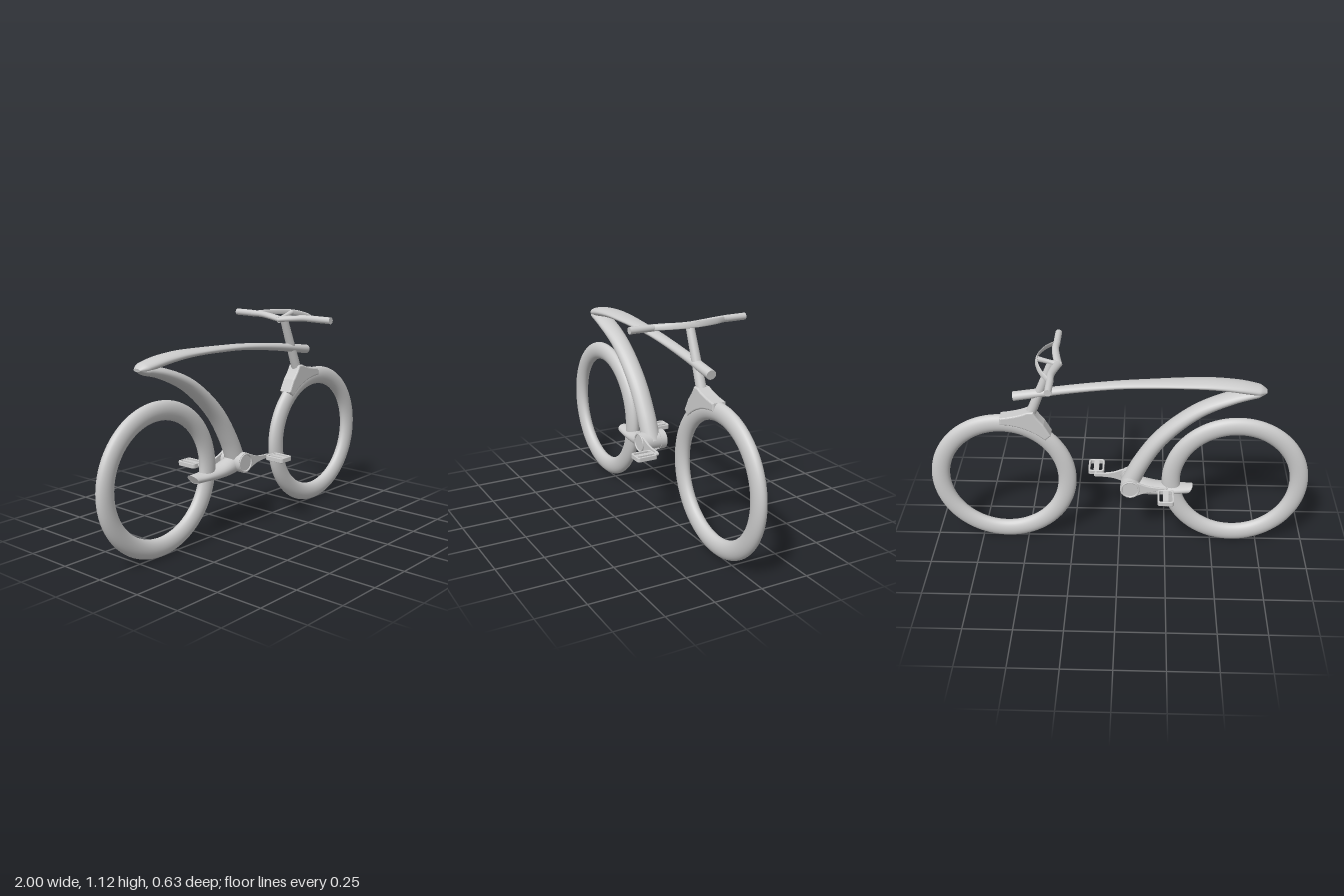
import * as THREE from 'three';

const V = (x, y, z = 0) => new THREE.Vector3(x, y, z);
const grey = new THREE.MeshStandardMaterial({ color: 0xcccccc });

function add(parent, name, geometry, x = 0, y = 0, z = 0) {
  const mesh = new THREE.Mesh(geometry, grey);
  mesh.name = name;
  mesh.position.set(x, y, z);
  parent.add(mesh);
  return mesh;
}

// Smooth elliptical loft. Each station is [x, y, z, half width along side, half height].
// startSlant shears the first end cut along the path.
function loft(stations, side, steps = 48, startSlant = 0, N = 24) {
  const path = new THREE.CatmullRomCurve3(stations.map(s => V(s[0], s[1], s[2])));
  const size = new THREE.CatmullRomCurve3(stations.map(s => V(s[3], s[4])));
  const pos = [], index = [];
  for (let i = 0; i <= steps; i++) {
    const t = i / steps, p = path.getPoint(t), s = size.getPoint(t), T = path.getTangent(t);
    const n = T.clone().cross(side).normalize();
    for (let j = 0; j < N; j++) {
      const a = j / N * Math.PI * 2;
      const q = p.clone().addScaledVector(side, s.x * Math.cos(a)).addScaledVector(n, s.y * Math.sin(a));
      if (i === 0) q.addScaledVector(T, startSlant * Math.sin(a));
      pos.push(q.x, q.y, q.z);
      if (i < steps) {
        const k = (j + 1) % N, A = i * N + j, B = i * N + k;
        index.push(A, B, A + N, B, B + N, A + N);
      }
    }
  }
  // flat end caps with their own vertices
  for (const end of [0, 1]) {
    const ring = end * steps * N * 3, base = pos.length / 3;
    pos.push(...path.getPoint(end).toArray());
    for (let j = 0; j < N * 3; j++) pos.push(pos[ring + j]);
    for (let j = 0; j < N; j++) {
      const a = base + 1 + j, b = base + 1 + (j + 1) % N;
      index.push(base, end ? a : b, end ? b : a);
    }
  }
  const g = new THREE.BufferGeometry();
  g.setAttribute('position', new THREE.Float32BufferAttribute(pos, 3));
  g.setIndex(index);
  g.computeVertexNormals();
  return g;
}

// Straight round bar between two points
function rod(a, b, r0, r1 = r0) {
  const g = new THREE.CylinderGeometry(r1, r0, a.distanceTo(b), 28);
  g.applyQuaternion(new THREE.Quaternion().setFromUnitVectors(V(0, 1), b.clone().sub(a).normalize()));
  const m = a.clone().add(b).multiplyScalar(0.5);
  return g.translate(m.x, m.y, m.z);
}

// Extrusion centred on z = 0
function plate(shape, depth, bevel) {
  return new THREE.ExtrudeGeometry(shape, {
    depth: depth - 2 * bevel, bevelThickness: bevel, bevelSize: bevel, bevelOffset: -bevel,
    bevelSegments: 3, curveSegments: 24,
  }).translate(0, 0, bevel - depth / 2);
}

function roundedRect(C, w, h, r) {
  const s = new C();
  s.absarc(w - r, h - r, r, 0, Math.PI / 2);
  s.absarc(-w + r, h - r, r, Math.PI / 2, Math.PI);
  s.absarc(-w + r, -h + r, r, Math.PI, Math.PI * 1.5);
  s.absarc(w - r, -h + r, r, Math.PI * 1.5, Math.PI * 2);
  s.closePath();
  return s;
}

const HUB = V(-0.06, 0.367);

// Crank arm and pedal on the +z side, relative to the hub
function createCrank(name) {
  const g = new THREE.Group();
  g.name = name;
  g.position.copy(HUB);
  const arm = new THREE.Shape();
  arm.moveTo(0.03, 0.042);
  arm.bezierCurveTo(0.07, 0.032, 0.08, 0.01, 0.185, 0.011);
  arm.absarc(0.187, 0, 0.011, Math.PI / 2, -Math.PI / 2, true);
  arm.bezierCurveTo(0.08, -0.01, 0.07, -0.032, 0.03, -0.042);
  arm.absarc(0, 0, 0.052, -0.95, 0.95, true);
  add(g, 'crankArm', plate(arm, 0.012, 0.003), 0, 0, 0.064);
  add(g, 'bearingCup', new THREE.CylinderGeometry(0.053, 0.053, 0.034, 40).rotateX(Math.PI / 2), 0, 0, 0.054);
  add(g, 'bearingRim', new THREE.TorusGeometry(0.046, 0.005, 10, 40), 0, 0, 0.071);
  // open pedal cage with a spindle body
  const cage = roundedRect(THREE.Shape, 0.043, 0.057, 0.015);
  cage.holes.push(roundedRect(THREE.Path, 0.033, 0.047, 0.01));
  add(g, 'pedalCage', plate(cage, 0.025, 0.003).rotateX(Math.PI / 2), 0.187, 0, 0.139);
  add(g, 'pedalBody', new THREE.BoxGeometry(0.028, 0.02, 0.1), 0.187, 0, 0.139);
  add(g, 'pedalSpindle', rod(V(0.187, 0, 0.06), V(0.187, 0, 0.1), 0.009));
  return g;
}

export function createModel() {
  const model = new THREE.Group();
  model.name = 'bicycle';
  const Z = V(0, 0, 1);

  // Hubless wheels
  for (const [name, x] of [['rearWheel', -0.613], ['frontWheel', 0.613]]) {
    add(model, name, new THREE.TorusGeometry(0.3385, 0.0485, 28, 96).scale(1, 1, 0.68), x, 0.387);
  }

  // Frame: upper beam that widens into the saddle
  add(model, 'topBeam', loft([
    [-0.737, 0.936, 0, 0.022, 0.008], [-0.70, 0.943, 0, 0.047, 0.024], [-0.60, 0.961, 0, 0.056, 0.025],
    [-0.47, 0.973, 0, 0.056, 0.022], [-0.33, 0.974, 0, 0.052, 0.018], [-0.18, 0.969, 0, 0.043, 0.017],
    [0, 0.959, 0, 0.035, 0.017], [0.25, 0.93, 0, 0.029, 0.02], [0.535, 0.885, 0, 0.026, 0.024],
  ], Z, 64));
  // Frame: curved strut sweeping down to the hub
  add(model, 'seatStrut', loft([
    [-0.735, 0.935, 0, 0.022, 0.007], [-0.69, 0.929, 0, 0.047, 0.024], [-0.58, 0.9, 0, 0.053, 0.028],
    [-0.40, 0.815, 0, 0.05, 0.036], [-0.22, 0.655, 0, 0.05, 0.042], [-0.115, 0.495, 0, 0.05, 0.046],
    [-0.055, 0.36, 0, 0.05, 0.05],
  ], Z, 64));
  // Frame: stay that clasps the rear wheel
  add(model, 'chainStay', loft([
    [-0.378, 0.335, 0, 0.036, 0.023], [-0.30, 0.334, 0, 0.046, 0.026], [-0.20, 0.336, 0, 0.05, 0.034],
    [-0.11, 0.35, 0, 0.05, 0.045], [-0.03, 0.367, 0, 0.048, 0.047],
  ], Z, 32, 0.015));
  add(model, 'hubShell', new THREE.CylinderGeometry(0.05, 0.05, 0.1, 40).rotateX(Math.PI / 2), HUB.x, HUB.y);

  // Cranks, the second turned half a revolution
  model.add(createCrank('leftCrank'));
  const other = createCrank('rightCrank');
  other.rotation.y = Math.PI;
  model.add(other);

  // Fork crown saddling the front tyre
  const crown = new THREE.Shape();
  crown.moveTo(0.35, 0.67);
  crown.lineTo(0.385, 0.735);
  crown.quadraticCurveTo(0.42, 0.775, 0.435, 0.808);
  crown.lineTo(0.468, 0.808);
  crown.quadraticCurveTo(0.51, 0.785, 0.61, 0.772);
  crown.absarc(0.613, 0.387, 0.345, Math.PI / 2, 2.31, false);
  add(model, 'forkCrown', plate(crown, 0.074, 0.008));
  add(model, 'steeringStem', rod(V(0.452, 0.785), V(0.335, 1.075), 0.026, 0.021));

  // Handlebar halves: round grip and flattened inner wing
  const flat = V(0.95, 0.31).normalize(), upright = V(-0.31, 0.95).normalize();
  for (const s of [1, -1]) {
    const side = s > 0 ? 'left' : 'right';
    add(model, side + 'Grip', rod(V(0.323, 1.087, s * 0.2), V(0.323, 1.087, s * 0.317), 0.0175));
    add(model, side + 'BarWing', loft([
      [0.323, 1.087, s * 0.205, 0.018, 0.017], [0.325, 1.086, s * 0.14, 0.018, 0.016],
      [0.315, 1.08, s * 0.07, 0.02, 0.015], [0.3, 1.073, 0, 0.021, 0.014],
    ], flat, 24));
  }
  // Thin bow ahead of the bar and its centre bridge
  add(model, 'handlebarBow', loft([
    [0.33, 1.088, -0.2, 0.013, 0.005], [0.378, 1.096, -0.12, 0.015, 0.004], [0.407, 1.101, 0, 0.016, 0.004],
    [0.378, 1.096, 0.12, 0.015, 0.004], [0.33, 1.088, 0.2, 0.013, 0.005],
  ], upright, 48));
  add(model, 'bowBridge', loft([
    [0.29, 1.068, 0, 0.018, 0.016], [0.35, 1.085, 0, 0.011, 0.012], [0.41, 1.102, 0, 0.014, 0.014],
  ], Z, 16));

  return model;
}
